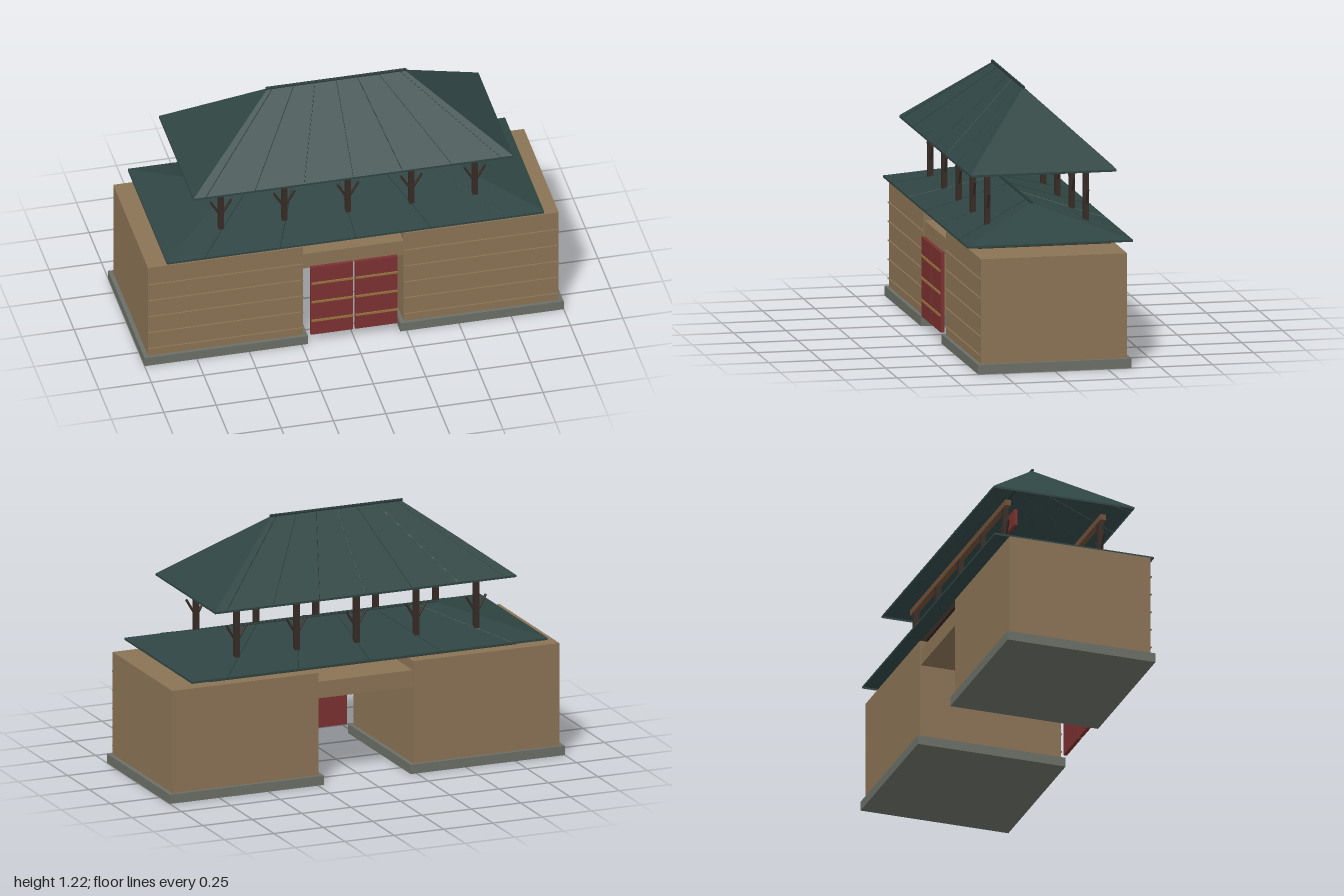
import * as THREE from 'three';

const mat = (color) => new THREE.MeshStandardMaterial({ color, flatShading: true });
const WALL = mat(0x8b7355), STONE = mat(0x6b6f66), TILE = mat(0x2f4543), RIB = mat(0x263836);
const DOOR = mat(0x7b3030), BAND = mat(0x94703c), TIMBER = mat(0x6f5038), POST = mat(0x382b25);
TILE.side = THREE.DoubleSide;

export function createModel() {
  const model = new THREE.Group();
  const add = (parent, name, geometry, material) => {
    const mesh = new THREE.Mesh(geometry, material);
    mesh.name = name;
    parent.add(mesh);
    return mesh;
  };
  // Box given by its limits on each axis
  const box = (parent, name, material, x0, x1, y0, y1, z0, z1) => {
    const mesh = add(parent, name, new THREE.BoxGeometry(x1 - x0, y1 - y0, z1 - z0), material);
    mesh.position.set((x0 + x1) / 2, (y0 + y1) / 2, (z0 + z1) / 2);
    return mesh;
  };
  // Thin rod between two points
  const rod = (parent, name, material, a, b, r, sides = 6) => {
    const p = new THREE.Vector3(...a), d = new THREE.Vector3(...b).sub(p);
    const mesh = add(parent, name, new THREE.CylinderGeometry(r, r, d.length(), sides), material);
    mesh.position.copy(p).addScaledVector(d, 0.5);
    mesh.quaternion.setFromUnitVectors(new THREE.Vector3(0, 1, 0), d.normalize());
  };

  // Hipped roof: fascia, four slopes, ridge cap and fanned seams
  const hipRoof = (name, ex, ez, y, rx, top, seams) => {
    const roof = new THREE.Group();
    roof.name = name;
    model.add(roof);
    const eave = y + 0.01, pos = [];
    const tri = (...pts) => pts.forEach((p) => pos.push(...p));
    const quad = (a, b, c, d) => tri(a, b, c, a, c, d);
    const plan = [[-ex, ez], [ex, ez], [ex, -ez], [-ex, -ez]];
    const at = (i, h) => [plan[i % 4][0], h, plan[i % 4][1]];
    const L = [-rx, top, 0], R = [rx, top, 0];
    for (let i = 0; i < 4; i++) quad(at(i, y), at(i + 1, y), at(i + 1, eave), at(i, eave));
    quad(at(0, eave), at(1, eave), R, L);
    tri(at(1, eave), at(2, eave), R);
    quad(at(2, eave), at(3, eave), L, R);
    tri(at(3, eave), at(0, eave), L);
    const g = new THREE.BufferGeometry();
    g.setAttribute('position', new THREE.Float32BufferAttribute(pos, 3));
    g.computeVertexNormals();
    add(roof, 'roofSlopes', g, TILE);
    rod(roof, 'ridgeCap', RIB, [-rx - 0.01, top, 0], [rx + 0.01, top, 0], 0.007, 8);
    for (const s of [-1, 1]) {
      for (const x of seams) {
        rod(roof, 'roofSeam', RIB, [x, top, 0], [x * ex / rx, eave, s * ez], 0.002);
      }
    }
  };

  for (const s of [-1, 1]) {
    // Wall block on its plinth, mirrored left and right
    const wing = new THREE.Group();
    wing.name = s > 0 ? 'leftWing' : 'rightWing';
    model.add(wing);
    const span = (a, b) => (s > 0 ? [a, b] : [-b, -a]);
    box(wing, 'plinth', STONE, ...span(0.22, 1), 0, 0.045, -0.365, 0.365);
    box(wing, 'wall', WALL, ...span(0.24, 0.98), 0.045, 0.54, -0.348, 0.348);
    for (let i = 0; i < 5; i++) {
      const y = 0.085 + i * 0.09;
      box(wing, 'wallCourse', WALL, ...span(0.24, 0.98), y - 0.002, y + 0.002, 0.34, 0.355);
    }
    // Door leaf with three bands
    box(wing, 'doorLeaf', DOOR, ...span(0.005, 0.207), 0.05, 0.427, 0.349, 0.366);
    for (const y of [0.13, 0.235, 0.34]) {
      box(wing, 'doorBand', BAND, ...span(0.006, 0.205), y - 0.005, y + 0.005, 0.36, 0.372);
    }
  }
  box(model, 'lintel', WALL, -0.24, 0.24, 0.415, 0.495, -0.343, 0.343);

  // Roofs
  box(model, 'roofDeck', POST, -0.777, 0.777, 0.55, 0.578, -0.316, 0.316);
  hipRoof('lowerRoof', 0.9, 0.393, 0.577, 0.5, 0.704, [-0.4, -0.2, 0, 0.2, 0.4]);
  hipRoof('upperRoof', 0.762, 0.347, 0.885, 0.325, 1.217, [-0.3, -0.2, -0.1, 0, 0.1, 0.2, 0.3]);

  // Open gallery: posts with forked braces, carrying a beam front and back
  for (const s of [-1, 1]) {
    const z = s * 0.235;
    for (let i = -2; i <= 2; i++) {
      const x = i * 0.303;
      box(model, 'post', POST, x - 0.0125, x + 0.0125, 0.62, 0.87, z - 0.0125, z + 0.0125);
      for (const d of [-1, 1]) {
        rod(model, 'brace', POST, [x, 0.7, z], [x + d * 0.05, 0.785, z], 0.006);
      }
    }
    box(model, 'beam', TIMBER, -0.65, 0.65, 0.862, 0.89, z - 0.0135, z + 0.0135);
  }
  // Small panel hung inside the upper roof
  box(model, 'innerPanel', DOOR, -0.06, 0.06, 1.06, 1.14, 0.01, 0.025);

  return model;
}
